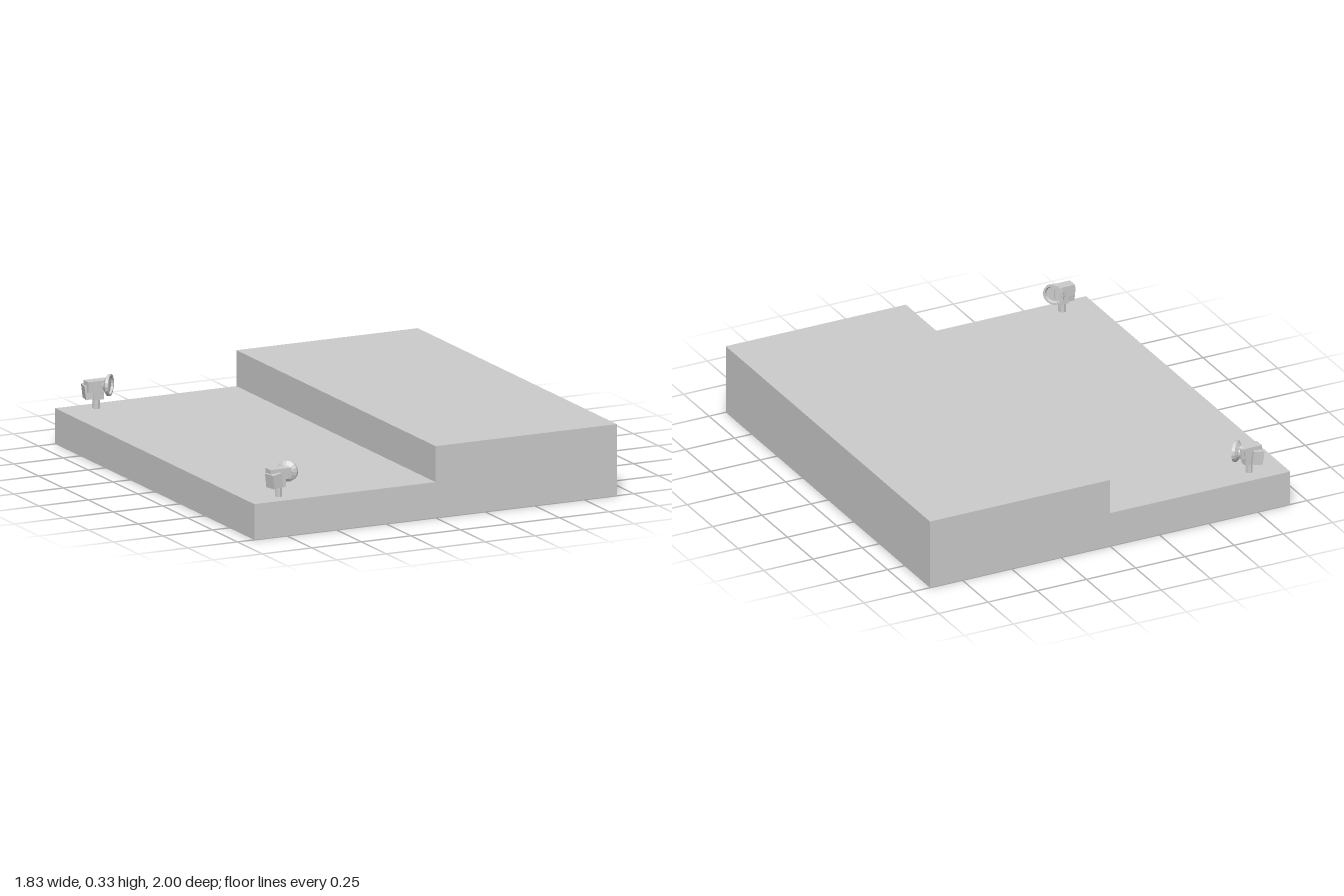
import * as THREE from 'three';

const material = new THREE.MeshStandardMaterial({ color: 0xcccccc, flatShading: true });

function addMesh(parent, name, geometry, x, y, z) {
  const mesh = new THREE.Mesh(geometry, material);
  mesh.name = name;
  mesh.position.set(x, y, z);
  parent.add(mesh);
  return mesh;
}

// Lamp on a short post; side is +1 at the front edge and -1 at the back edge
function createLamp(side) {
  const lamp = new THREE.Group();
  lamp.name = side > 0 ? 'frontLamp' : 'backLamp';
  lamp.position.set(-0.75, 0.165, side * 0.915);

  addMesh(lamp, 'post', new THREE.CylinderGeometry(0.017, 0.017, 0.06, 8), 0, 0.03, 0);
  addMesh(lamp, 'bracket', new THREE.BoxGeometry(0.05, 0.045, 0.04), 0.003, 0.067, 0);
  addMesh(lamp, 'housing', new THREE.BoxGeometry(0.105, 0.05, 0.05), 0, 0.108, 0);

  // Tilted block at the rear of the housing
  const block = addMesh(lamp, 'rearBlock', new THREE.BoxGeometry(0.05, 0.065, 0.06), -0.03, 0.082, side * 0.015);
  block.rotation.set(0, side * 0.2, 0.12);

  // Flared head turned inward, with a raised rim and a recessed face
  const head = new THREE.Group();
  head.name = 'head';
  head.position.set(0.044, 0.108, -side * 0.012);
  head.rotation.y = side * 0.75;
  lamp.add(head);
  const profile = [
    [0, -0.03], [0.025, -0.03], [0.03, -0.005], [0.05, 0.008],
    [0.05, 0.022], [0.041, 0.022], [0.036, 0.012], [0, 0.012],
  ].map(([r, h]) => new THREE.Vector2(r, h));
  const reflector = addMesh(head, 'reflector', new THREE.LatheGeometry(profile, 16), 0, 0, 0);
  reflector.rotation.z = -Math.PI / 2;
  return lamp;
}

export function createModel() {
  const model = new THREE.Group();
  model.name = 'steppedPlatform';

  // Two-level slab extruded along z
  const outline = new THREE.Shape([
    [-0.915, 0], [0.915, 0], [0.915, 0.333], [0, 0.333], [0, 0.166], [-0.915, 0.166],
  ].map(([x, y]) => new THREE.Vector2(x, y)));
  addMesh(model, 'platform', new THREE.ExtrudeGeometry(outline, { depth: 2, bevelEnabled: false }), 0, 0, -1);

  for (const side of [1, -1]) model.add(createLamp(side));
  return model;
}
